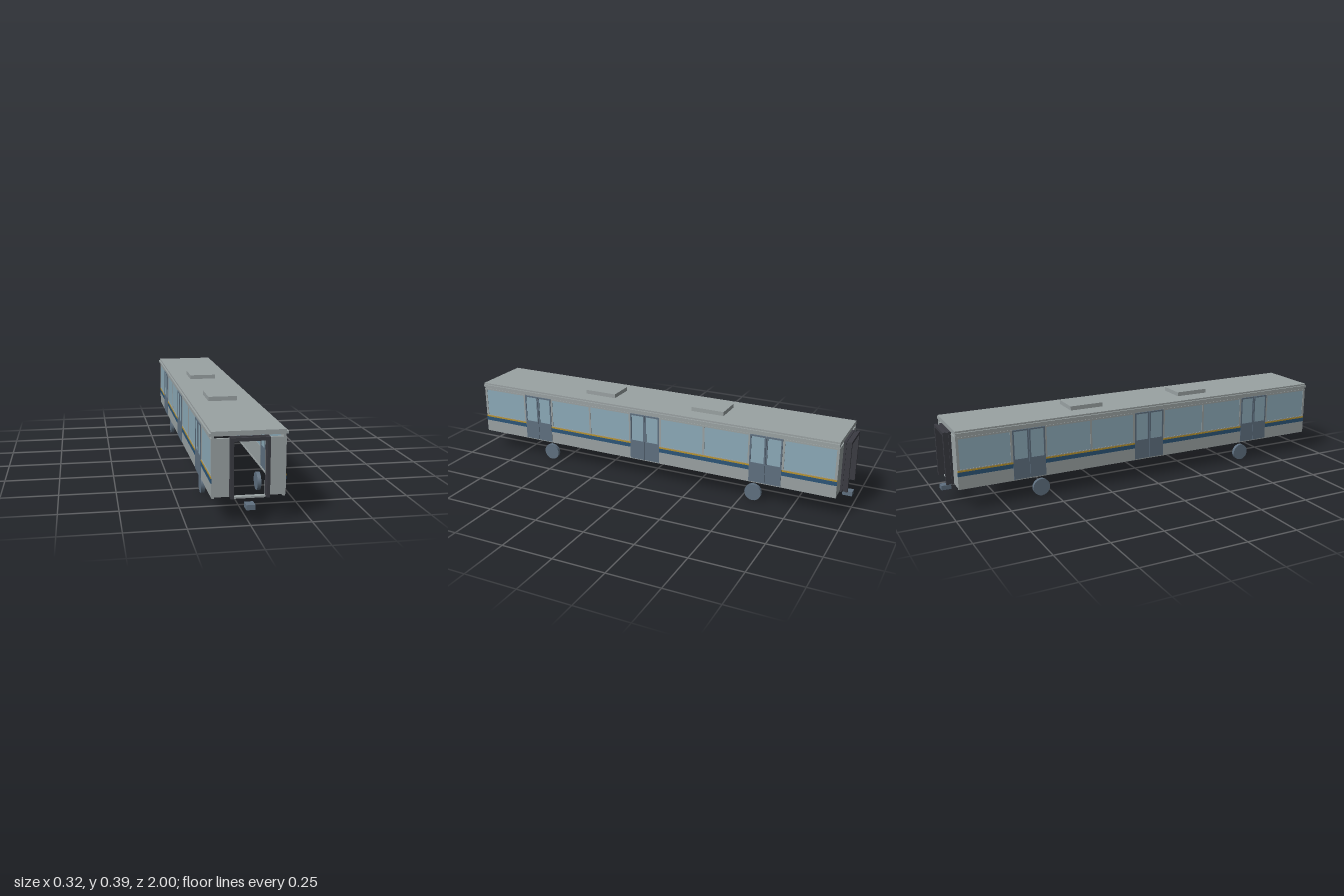
import * as THREE from 'three';

const mat = (name, color) => {
  const m = new THREE.MeshStandardMaterial({ color });
  m.name = name;
  return m;
};

export function createModel() {
  const model = new THREE.Group();
  model.name = 'railCarriage';

  const shell = mat('shellGrey', 0x9aa2a3);
  const glass = mat('windowGlass', 0x8caab8);
  const steel = mat('blueGreySteel', 0x5f7080);
  const dark = mat('gangwayRubber', 0x3a3b42);
  const blue = mat('stripeBlue', 0x2c5578);
  const gold = mat('stripeGold', 0xb8942f);

  // Box given by its limits on each axis
  const box = (parent, name, material, x0, x1, y0, y1, z0, z1) => {
    const mesh = new THREE.Mesh(new THREE.BoxGeometry(Math.abs(x1 - x0), y1 - y0, z1 - z0), material);
    mesh.position.set((x0 + x1) / 2, (y0 + y1) / 2, (z0 + z1) / 2);
    mesh.name = name;
    parent.add(mesh);
  };
  const group = (name) => {
    const g = new THREE.Group();
    g.name = name;
    model.add(g);
    return g;
  };

  const END = 0.955;
  const doorCentres = [-0.62, 0, 0.62];
  const DOOR = 0.078; // half width of a doorway
  // Stretches of wall between the doorways, and the windows in each
  const bays = [
    { z: [-END, -0.698], windows: [[-0.943, -0.708]] },
    { z: [-0.542, -0.078], windows: [[-0.533, -0.315], [-0.305, -0.088]] },
    { z: [0.078, 0.542], windows: [[0.088, 0.305], [0.315, 0.533]] },
    { z: [0.698, END], windows: [[0.708, 0.943]] },
  ];

  // Side walls
  for (const s of [1, -1]) {
    const wall = group(s > 0 ? 'leftSide' : 'rightSide');
    box(wall, 'soleBar', shell, s * 0.138, s * 0.148, 0.101, 0.108, -END, END);
    box(wall, 'cantRail', shell, s * 0.138, s * 0.148, 0.337, 0.354, -END, END);

    for (const { z: [a, b], windows } of bays) {
      box(wall, 'lowerPanel', shell, s * 0.141, s * 0.15, 0.107, 0.195, a, b);
      box(wall, 'upperPanel', shell, s * 0.141, s * 0.15, 0.335, 0.343, a, b);
      box(wall, 'blueStripe', blue, s * 0.149, s * 0.1512, 0.163, 0.183, a, b);
      box(wall, 'goldStripe', gold, s * 0.149, s * 0.1512, 0.183, 0.191, a, b);
      // Pillars fill what the windows leave free
      const edges = [a, ...windows.flat(), b];
      for (let i = 0; i < edges.length; i += 2) {
        box(wall, 'windowPillar', shell, s * 0.141, s * 0.15, 0.195, 0.335, edges[i], edges[i + 1]);
      }
      for (const [w0, w1] of windows) {
        box(wall, 'window', glass, s * 0.143, s * 0.148, 0.195, 0.335, w0, w1);
      }
    }

    // Double doors
    for (const c of doorCentres) {
      const door = new THREE.Group();
      door.name = 'doubleDoor';
      wall.add(door);
      for (const d of [-1, 1]) {
        const z0 = d < 0 ? c - DOOR : c + 0.001;
        const z1 = d < 0 ? c - 0.001 : c + DOOR;
        box(door, 'doorPanel', steel, s * 0.142, s * 0.153, 0.107, 0.203, z0, z1);
        box(door, 'doorTopRail', steel, s * 0.142, s * 0.153, 0.334, 0.341, z0, z1);
        box(door, 'doorStile', steel, s * 0.142, s * 0.153, 0.203, 0.334, z0, z0 + 0.007);
        box(door, 'doorStile', steel, s * 0.142, s * 0.153, 0.203, 0.334, z1 - 0.007, z1);
        box(door, 'doorGlass', glass, s * 0.145, s * 0.15, 0.203, 0.334, z0 + 0.007, z1 - 0.007);
      }
    }

    // Gutter along the roof edge
    box(wall, 'gutter', shell, s * 0.147, s * 0.158, 0.353, 0.364, -END, END);
  }

  // Roof and its equipment boxes
  const roof = group('roof');
  box(roof, 'roofSlab', shell, -0.15, 0.15, 0.353, 0.372, -END, END);
  for (const c of [-0.293, 0.293]) {
    box(roof, 'roofUnit', shell, -0.066, 0.066, 0.371, 0.392, c - 0.083, c + 0.083);
  }

  // Rectangular frame open in the middle, used for the gangways
  const frameGeometry = (w, top, depth) => {
    const shape = new THREE.Shape();
    shape.moveTo(-w, 0.107).lineTo(-0.066, 0.107).lineTo(-0.066, 0.338).lineTo(0.066, 0.338);
    shape.lineTo(0.066, 0.107).lineTo(w, 0.107).lineTo(w, top).lineTo(-w, top).closePath();
    return new THREE.ExtrudeGeometry(shape, { depth, bevelEnabled: false });
  };

  // Ends: panels, sill, ribbed gangway and coupler
  for (const e of [1, -1]) {
    const end = group(e > 0 ? 'frontEnd' : 'backEnd');
    for (const s of [1, -1]) {
      box(end, 'endPanel', shell, s * 0.067, s * 0.15, 0.107, 0.343, 0.943, END);
    }
    box(end, 'doorSill', shell, -0.066, 0.066, 0.101, 0.108, 0.943, 0.965);
    for (let i = 0; i < 3; i++) {
      const outer = i !== 1;
      const rib = new THREE.Mesh(frameGeometry(outer ? 0.078 : 0.074, outer ? 0.352 : 0.348, 0.012), dark);
      rib.position.z = 0.954 + i * 0.012;
      rib.name = 'gangwayRib';
      end.add(rib);
    }
    box(end, 'coupler', steel, -0.018, 0.018, 0.063, 0.084, 0.955, 1);
    if (e < 0) end.rotation.y = Math.PI;
  }

  // Wheels
  const wheelGeometry = new THREE.CylinderGeometry(0.041, 0.041, 0.017, 20).rotateZ(Math.PI / 2);
  for (const x of [-0.126, 0.126]) {
    for (const z of [-0.56, 0.56]) {
      const wheel = new THREE.Mesh(wheelGeometry, steel);
      wheel.position.set(x, 0.041, z);
      wheel.name = 'wheel';
      model.add(wheel);
    }
  }

  return model;
}
